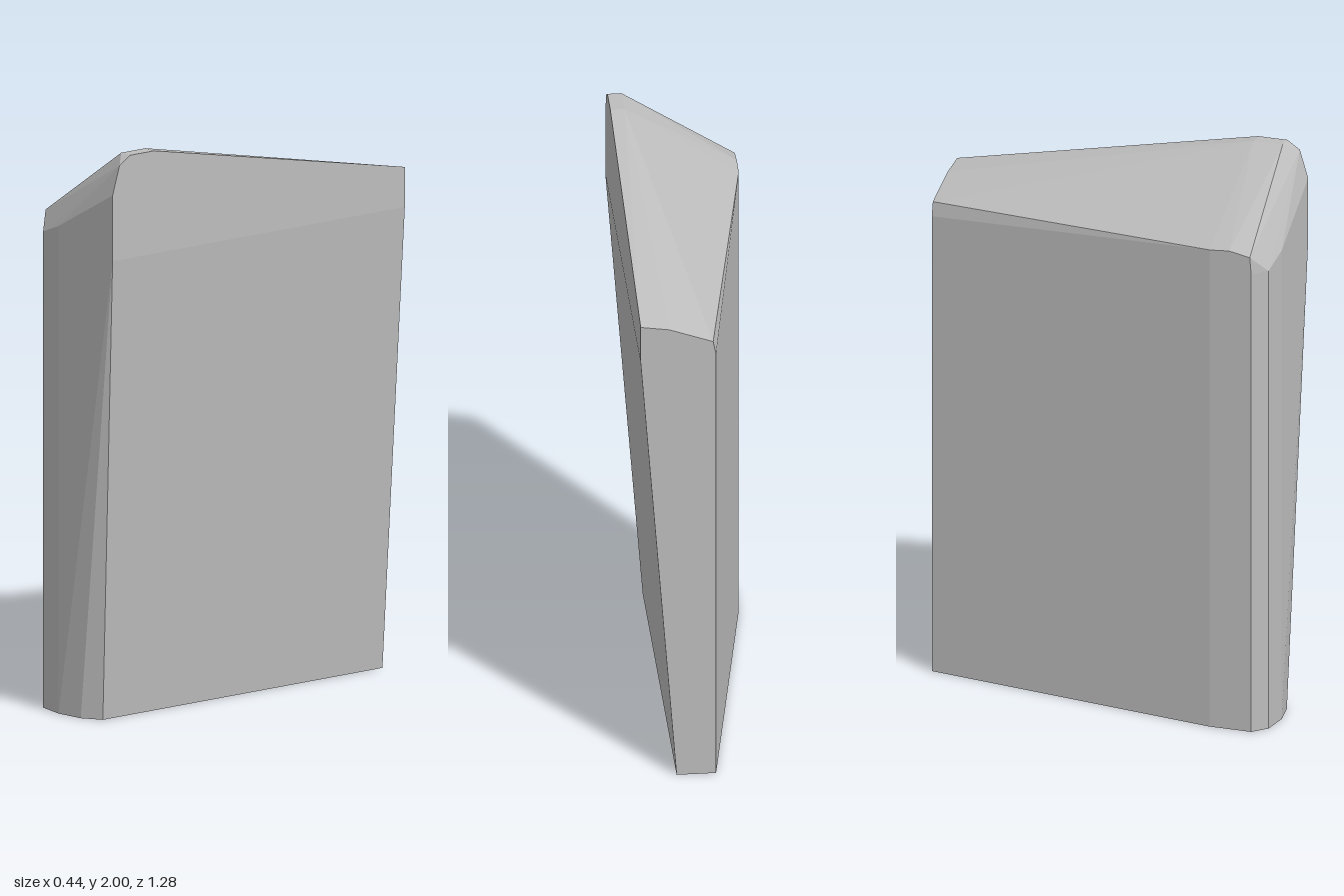
import * as THREE from 'three';
import { ConvexGeometry } from 'three/addons/geometries/ConvexGeometry.js';

export function createModel() {
  const group = new THREE.Group();
  const grey = new THREE.MeshStandardMaterial({ color: 0xbdbdbd });
  grey.name = 'light grey';

  // Flat base outline: narrow at the back, rounded at the front
  const base = [
    [-0.04, 0, -0.64], [0.095, 0, -0.64], [0.095, 0, 0.575], [0.03, 0, 0.62],
    [-0.07, 0, 0.637], [-0.17, 0, 0.625], [-0.22, 0, 0.58], [-0.22, 0, 0.43],
  ];
  // Shoulder, where the leaning side turns vertical and the front starts to curve back
  const shoulder = [
    [-0.04, 1.66, -0.64], [0.218, 1.64, -0.64], [0.218, 1.64, 0.63], [0.218, 1.87, 0.63],
    [-0.07, 1.71, 0.637], [-0.17, 1.67, 0.625], [-0.22, 1.67, 0.58],
  ];
  // Slanted roof, highest at the front of the leaning side
  const roof = [
    [-0.03, 1.71, -0.64], [0.12, 1.765, -0.64], [0.218, 1.78, -0.64],
    [0.17, 2, 0.45], [0.218, 2, 0.45], [0.17, 2, 0.555], [0.218, 2, 0.555],
    [0.218, 1.97, 0.6], [-0.22, 1.74, 0.43], [-0.22, 1.745, 0.5], [-0.22, 1.73, 0.575],
  ];

  // One solid faceted body stretched over the three levels
  const points = [...base, ...shoulder, ...roof].map((p) => new THREE.Vector3(...p));
  const body = new THREE.Mesh(new ConvexGeometry(points), grey);
  body.name = 'wedgeBlock';
  group.add(body);
  return group;
}
